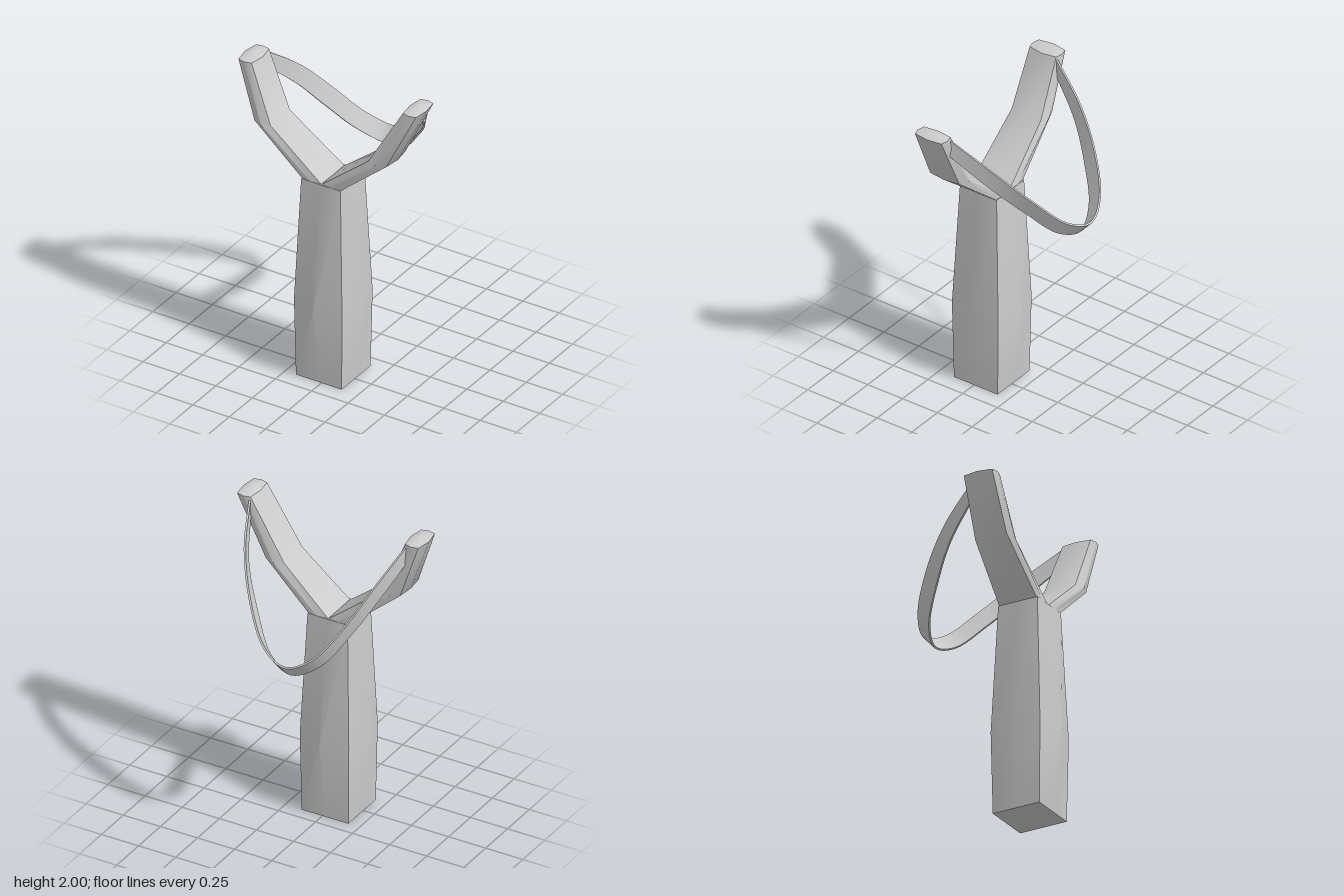
import * as THREE from 'three';
import { toCreasedNormals } from 'three/addons/utils/BufferGeometryUtils.js';

const material = new THREE.MeshStandardMaterial({ color: 0xcccccc });
const V = (x, y, z) => new THREE.Vector3(x, y, z);

// Horizontal eight-sided section: corners at (hx, hz), edge middles at (mx, mz)
function section(y, cx, cz, hx, hz, mx, mz) {
  return [[mx, 0], [hx, -hz], [0, -mz], [-hx, -hz], [-mx, 0], [-hx, hz], [0, mz], [hx, hz]]
    .map(([x, z]) => V(cx + x, y, cz + z));
}

// Skin a list of rings; each end closes to a centre point, the last one raised by peak
function loft(name, rings, peak = 0, crease = 0.6) {
  const pos = [];
  const tri = (...pts) => pts.forEach((p) => pos.push(p.x, p.y, p.z));
  const centre = (ring) => ring.reduce((s, p) => s.add(p), V(0, 0, 0)).divideScalar(ring.length);
  const n = rings[0].length;
  const last = rings[rings.length - 1];
  const start = centre(rings[0]);
  const end = centre(last);
  end.y += peak;
  for (let j = 0; j < n; j++) {
    const k = (j + 1) % n;
    for (let i = 0; i < rings.length - 1; i++) {
      const a = rings[i], b = rings[i + 1];
      tri(a[j], a[k], b[k]);
      tri(a[j], b[k], b[j]);
    }
    tri(rings[0][k], rings[0][j], start);
    tri(last[j], last[k], end);
  }
  const geometry = new THREE.BufferGeometry();
  geometry.setAttribute('position', new THREE.Float32BufferAttribute(pos, 3));
  const mesh = new THREE.Mesh(toCreasedNormals(geometry, crease), material);
  mesh.name = name;
  return mesh;
}

// Elastic strip swept between an upper and a lower edge curve
function makeBand() {
  const upper = new THREE.CatmullRomCurve3([
    V(-0.535, 1.965, 0.15), V(-0.45, 1.77, -0.09), V(-0.35, 1.56, -0.27), V(-0.22, 1.375, -0.4),
    V(-0.06, 1.3, -0.455), V(0.11, 1.36, -0.41), V(0.28, 1.55, -0.28), V(0.43, 1.77, -0.09), V(0.535, 1.965, 0.15),
  ]);
  const lower = new THREE.CatmullRomCurve3([
    V(-0.535, 1.855, 0.15), V(-0.45, 1.66, -0.05), V(-0.35, 1.47, -0.195), V(-0.22, 1.29, -0.325),
    V(-0.06, 1.215, -0.38), V(0.11, 1.27, -0.335), V(0.28, 1.46, -0.205), V(0.43, 1.66, -0.05), V(0.535, 1.855, 0.15),
  ]);
  const rings = [];
  for (let i = 0; i <= 48; i++) {
    const t = i / 48;
    const u = upper.getPoint(t), l = lower.getPoint(t);
    const inward = upper.getTangent(t).cross(u.clone().sub(l)).setLength(0.012);
    rings.push([u, u.clone().add(inward), l.clone().add(inward), l]);
  }
  return loft('elasticBand', rings);
}

export function createModel() {
  const group = new THREE.Group();
  group.name = 'slingshot';

  // Grip: square foot, bulging octagonal middle, square top
  group.add(loft('handle', [
    section(0, -0.018, 0.237, 0.157, 0.157, 0.157, 0.157),
    section(0.52, -0.018, 0.237, 0.165, 0.166, 0.203, 0.219),
    section(1.33, -0.02, 0.237, 0.135, 0.132, 0.137, 0.134),
  ]));

  // Fork arms: from half of the grip top, out to an elbow, then up to a pointed tip
  group.add(loft('rightArm', [
    section(1.33, -0.0885, 0.237, 0.0665, 0.125, 0.0675, 0.132),
    section(1.61, -0.43, 0.25, 0.055, 0.105, 0.066, 0.125),
    section(1.975, -0.565, 0.236, 0.045, 0.095, 0.062, 0.106),
  ], 0.025));
  group.add(loft('leftArm', [
    section(1.33, 0.0475, 0.237, 0.0665, 0.125, 0.0675, 0.132),
    section(1.59, 0.36, 0.253, 0.062, 0.105, 0.076, 0.128),
    section(1.975, 0.565, 0.236, 0.045, 0.095, 0.058, 0.106),
  ], 0.025));

  group.add(makeBand());
  return group;
}
